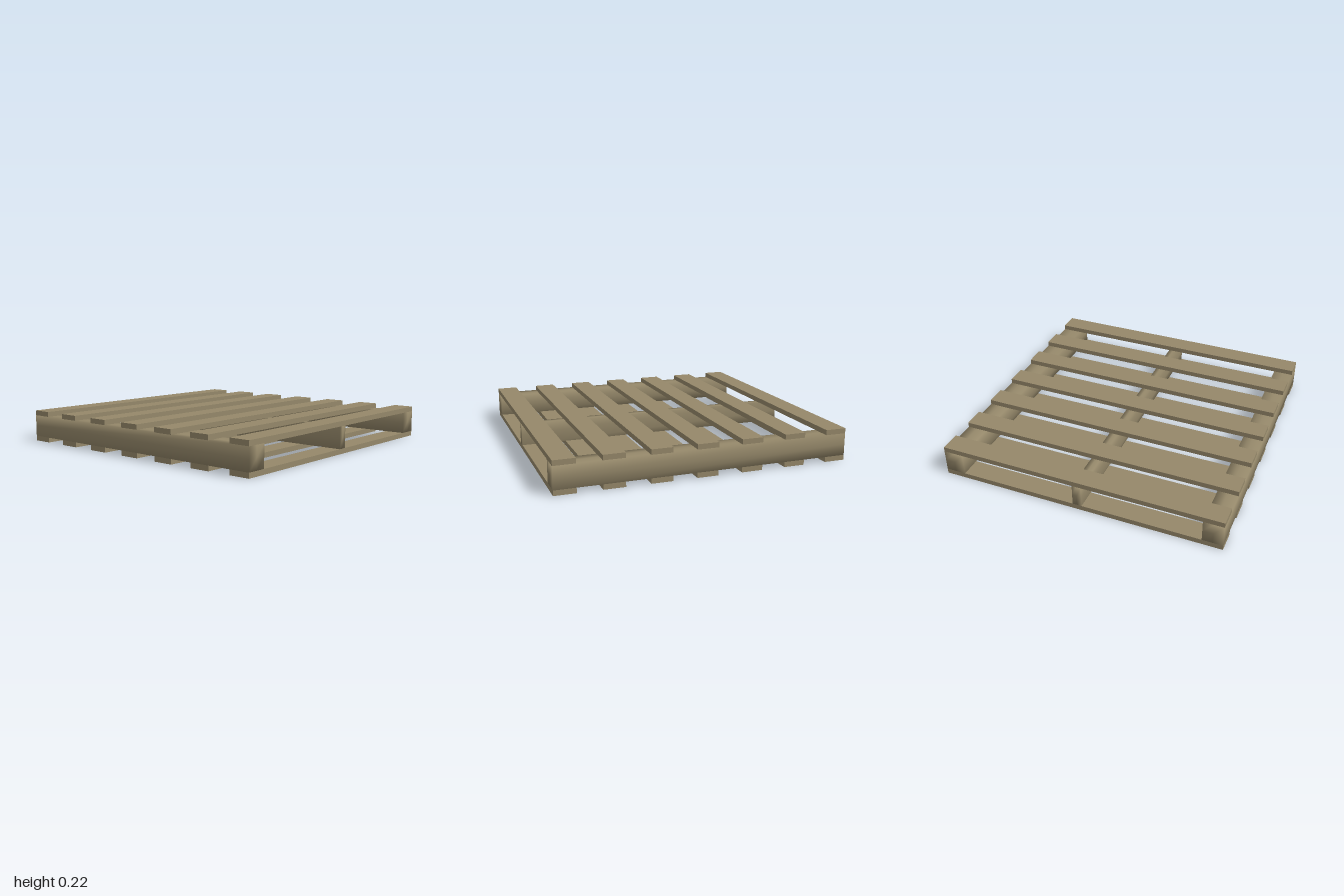
import * as THREE from 'three';
import { mergeVertices } from 'three/addons/utils/BufferGeometryUtils.js';

const HALF_DEPTH = 0.995;
const BOARD_T = 0.035;   // board thickness
const BOARD_W = 0.145;   // board width
const HEIGHT = 0.222;

// Box with shared corners, so that its shading rolls softly over the edges
function softBox(w, h, d) {
  const g = new THREE.BoxGeometry(w, h, d, 1, 2, 2);
  g.deleteAttribute('normal');
  g.deleteAttribute('uv');
  const merged = mergeVertices(g);
  merged.computeVertexNormals();
  return merged;
}

export function createModel() {
  const pallet = new THREE.Group();
  pallet.name = 'pallet';

  const wood = new THREE.MeshStandardMaterial({ color: 0x95886a });
  wood.name = 'weathered wood';

  const add = (name, geometry, x, y, z) => {
    const mesh = new THREE.Mesh(geometry, wood);
    mesh.name = name;
    mesh.position.set(x, y, z);
    pallet.add(mesh);
  };

  // Three beams running across, thick at front and back and thin in the middle
  const beamH = HEIGHT - 2 * BOARD_T;
  const beams = [
    ['frontBeam', 0.14, HALF_DEPTH - 0.07],
    ['middleBeam', 0.064, 0],
    ['backBeam', 0.14, -HALF_DEPTH + 0.07],
  ];
  for (const [name, depth, z] of beams) {
    add(name, softBox(2, beamH, depth), 0, HEIGHT / 2, z);
  }

  // Seven boards above and seven below, running front to back
  const board = new THREE.BoxGeometry(BOARD_W, BOARD_T, 2 * HALF_DEPTH);
  const boardX = [-0.9275, -0.62, -0.311, 0, 0.309, 0.618, 0.9275];
  boardX.forEach((x, i) => {
    add(`topBoard${i + 1}`, board, x, HEIGHT - BOARD_T / 2, 0);
    add(`bottomBoard${i + 1}`, board, x, BOARD_T / 2, 0);
  });

  return pallet;
}
